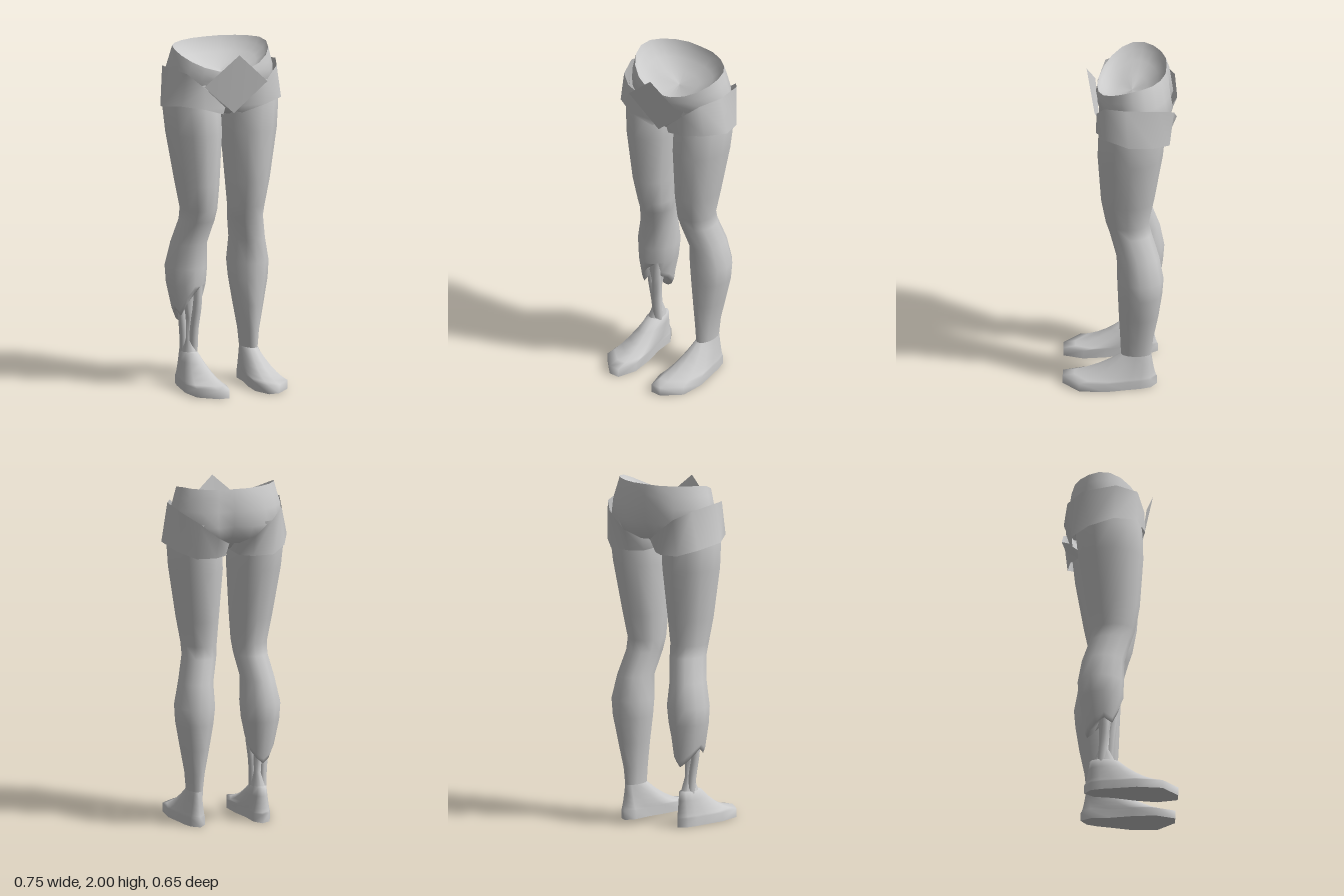
import * as THREE from 'three';

const grey = new THREE.MeshStandardMaterial({ color: 0xcccccc, side: THREE.DoubleSide });
const lerp = THREE.MathUtils.lerp;

// Skin over closed rings of [x, y, z] points listed from top to bottom
function loft(name, rings, flip = false) {
  const n = rings[0].length, index = [];
  for (let k = 0; k < rings.length - 1; k++) {
    for (let i = 0; i < n; i++) {
      const a = k * n + i, b = k * n + (i + 1) % n, c = a + n, d = b + n;
      if (flip) index.push(a, c, b, b, c, d);
      else index.push(a, b, c, b, d, c);
    }
  }
  const geo = new THREE.BufferGeometry();
  geo.setAttribute('position', new THREE.Float32BufferAttribute(rings.flat(2), 3));
  geo.setIndex(index);
  geo.computeVertexNormals();
  const mesh = new THREE.Mesh(geo, grey);
  mesh.name = name;
  return mesh;
}

// Oval ring from its x and z limits
function oval(y, x0, x1, z0, z1, n = 12) {
  return Array.from({ length: n }, (_, i) => {
    const a = i / n * Math.PI * 2;
    return [(x0 + x1) / 2 + (x1 - x0) / 2 * Math.cos(a), y, (z0 + z1) / 2 + (z1 - z0) / 2 * Math.sin(a)];
  });
}
const point = (x, y, z, n = 12) => Array.from({ length: n }, () => [x, y, z]);
const mirror = (rings, s) => rings.map(r => r.map(([x, y, z]) => [s * x, y, z]));

// Leg sections: y, inner x, outer x, back z, front z
const LEG = [
  [1.8, 0.05, 0.325, -0.28, 0.1], [1.65, 0.02, 0.345, -0.265, 0.12], [1.5, 0.015, 0.332, -0.25, 0.125],
  [1.2, 0.035, 0.283, -0.2, 0.105], [1.05, 0.045, 0.255, -0.17, 0.078], [0.98, 0.053, 0.253, -0.185, 0.055],
  [0.84, 0.083, 0.285, -0.23, 0.015], [0.7, 0.075, 0.315, -0.255, 0.012], [0.6, 0.085, 0.308, -0.247, 0.008],
  [0.45, 0.11, 0.277, -0.225, 0.002], [0.3, 0.135, 0.245, -0.195, -0.006], [0.2, 0.145, 0.235, -0.185, -0.01],
];
// Foot outline in x, z, from the outer side round the toe
const FOOT = [[0.268, -0.05], [0.295, 0.08], [0.287, 0.23], [0.19, 0.325], [0.125, 0.325], [0.09, 0.21],
  [0.105, 0.08], [0.135, -0.05], [0.145, -0.16], [0.185, -0.217], [0.235, -0.18], [0.255, -0.12]];
// Ragged lower edge of the open calf, one height per side
const HEM = [0.45, 0.42, 0.5, 0.55, 0.58, 0.5, 0.47, 0.42, 0.38, 0.35, 0.38, 0.42];
// Leg wrap: top and bottom edges
const WRAP_TOP = [[0.335, 1.89, -0.04], [0.285, 1.875, 0.085], [0.19, 1.79, 0.13], [0.05, 1.66, 0.105],
  [0.008, 1.64, -0.08], [0.03, 1.68, -0.27], [0.11, 1.73, -0.33], [0.22, 1.82, -0.315], [0.295, 1.865, -0.23]];
const WRAP_LOW = [[0.375, 1.665, -0.055], [0.315, 1.685, 0.08], [0.19, 1.665, 0.135], [0.06, 1.62, 0.1],
  [0.008, 1.61, -0.08], [0.04, 1.6, -0.23], [0.11, 1.6, -0.28], [0.23, 1.605, -0.29], [0.32, 1.635, -0.2]];

function foot(s) {
  const g = new THREE.Group();
  g.name = s > 0 ? 'leftFoot' : 'rightFoot';
  const ankle = oval(0.2, 0.145, 0.235, -0.185, -0.01);
  const rings = [1, 0.8, 0.6, 0.4, 0.2, 0].map(t => FOOT.map(([x, z], i) => {
    const w = t * t * 0.35 + t * 0.65;
    return [lerp(x, ankle[i][0], w), 0.05 + 0.03 * t + 0.12 * t * t, lerp(z, ankle[i][2], t)];
  }));
  const base = FOOT.map(([x, z]) => [x, 0, z]);
  rings.push(base);
  if (s < 0) rings.unshift(point(0.19, 0.215, -0.1));
  g.add(loft('footUpper', mirror(rings, s), s < 0));
  g.add(loft('sole', mirror([base, point(0.19, 0, 0.05)], s), s < 0));
  return g;
}

function bone(name, pts, radius) {
  const curve = new THREE.CatmullRomCurve3(pts.map(p => new THREE.Vector3(...p)));
  const mesh = new THREE.Mesh(new THREE.TubeGeometry(curve, 8, radius, 8), grey);
  mesh.name = name;
  return mesh;
}

// Pelvis ring: front dips by drop, back cleft pushes inward on the centre line
function hipRing(y, rx, z0, z1, drop, cleft) {
  return oval(y, -rx, rx, z0, z1, 20).map(([x, , z]) => {
    const dip = drop * Math.pow(Math.max(0, (z + 0.14) / 0.27), 1.8);
    const crease = z < -0.15 ? cleft * Math.max(0, 1 - Math.abs(x) / 0.09) : 0;
    return [x, y - dip, z + crease];
  });
}

export function createModel() {
  const model = new THREE.Group();
  model.name = 'lowerBody';

  // Pelvis shell
  const rim = hipRing(2.0, 0.29, -0.275, 0.13, 0.13, 0.005);
  model.add(loft('pelvis', [
    rim,
    hipRing(1.94, 0.305, -0.295, 0.137, 0.1, 0.012),
    hipRing(1.87, 0.325, -0.305, 0.13, 0.06, 0.025),
    hipRing(1.78, 0.33, -0.318, 0.122, 0, 0.045),
    hipRing(1.7, 0.27, -0.3, 0.115, 0, 0.08),
    hipRing(1.65, 0.13, -0.23, 0.1, 0, 0.06),
    hipRing(1.61, 0.03, -0.12, 0.05, 0, 0),
    point(0, 1.605, -0.03, 20),
  ]));

  // Hollow waist
  const bowl = [[1, 0], [0.93, 0.035], [0.75, 0.07], [0.45, 0.1], [0, 0.11]].map(([k, d]) =>
    rim.map(([x, y, z]) => [x * k, lerp(1.95, y, k) - d, lerp(-0.07, z, k)]));
  model.add(loft('waistHollow', bowl, true));

  // Front flap
  const flapGeo = new THREE.BufferGeometry();
  flapGeo.setAttribute('position', new THREE.Float32BufferAttribute(
    [0, 1.98, 0.19, -0.2, 1.8, 0.142, 0, 1.625, 0.115, 0.2, 1.8, 0.142], 3));
  flapGeo.setIndex([0, 1, 2, 0, 2, 3]);
  flapGeo.computeVertexNormals();
  const flap = new THREE.Mesh(flapGeo, grey);
  flap.name = 'frontFlap';
  model.add(flap);

  for (const s of [1, -1]) {
    const side = s > 0 ? 'left' : 'right';
    let rings = LEG.map(r => oval(...r));
    if (s < 0) {
      // Torn calf closed by an inner hollow
      const edge = (x0, x1, z0, z1, up) =>
        oval(0, x0, x1, z0, z1).map(([x, , z], i) => [x, HEM[i] + up, z]);
      rings = [...rings.slice(0, 9), edge(0.108, 0.278, -0.215, -0.002, 0.03),
        edge(0.12, 0.265, -0.2, -0.012, 0), edge(0.145, 0.24, -0.16, -0.04, 0.03), point(0.19, 0.52, -0.1)];
    }
    model.add(loft(side + 'Leg', mirror(rings, s), s < 0));
    model.add(foot(s));
    model.add(loft(side + 'LegWrap', mirror([WRAP_TOP, WRAP_LOW], s), s < 0));
  }

  // Exposed shin of the right leg
  model.add(bone('shinBone', [[-0.15, 0.6, -0.05], [-0.155, 0.48, -0.05], [-0.168, 0.34, -0.065], [-0.168, 0.19, -0.08]], 0.027));
  model.add(bone('calfBone', [[-0.24, 0.55, -0.1], [-0.232, 0.42, -0.1], [-0.218, 0.3, -0.11], [-0.212, 0.19, -0.12]], 0.023));
  model.add(loft('shinTissue', [
    oval(0.55, -0.25, -0.14, -0.16, -0.05), oval(0.4, -0.215, -0.165, -0.13, -0.07),
    oval(0.28, -0.21, -0.165, -0.13, -0.075), oval(0.19, -0.235, -0.145, -0.17, -0.03)]));
  return model;
}
